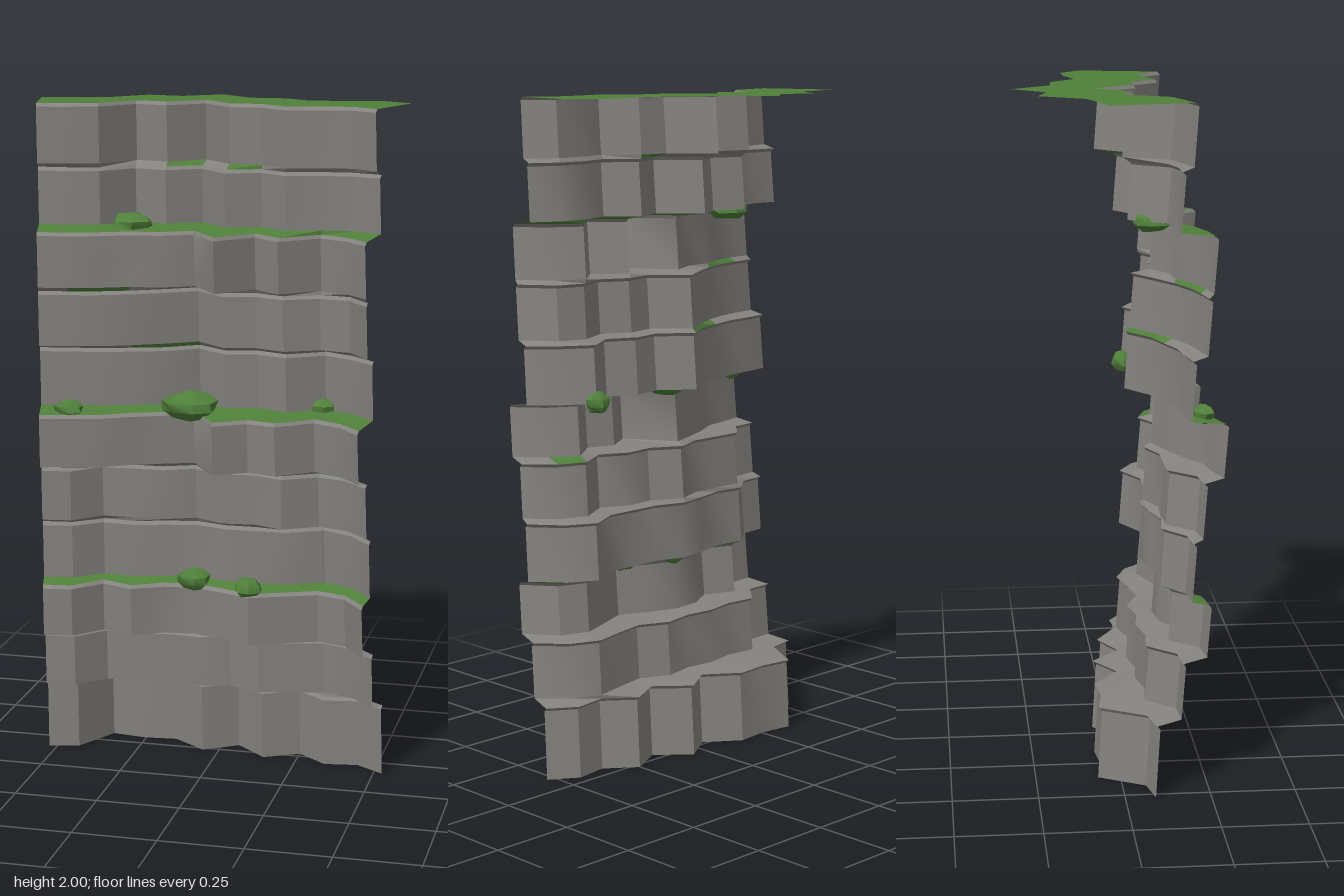
import * as THREE from 'three';
import { toCreasedNormals } from 'three/addons/utils/BufferGeometryUtils.js';

const stone = new THREE.MeshStandardMaterial({ color: 0x85837f, side: THREE.DoubleSide });
const grass = new THREE.MeshStandardMaterial({ color: 0x50803a, side: THREE.DoubleSide });

// Heights of the layer boundaries, bottom to top
const LEVELS = [0, 0.23, 0.41, 0.58, 0.765, 0.94, 1.11, 1.295, 1.47, 1.645, 1.825, 2];

// Depth (z) of each rock layer at 12 columns, from -x to +x
const LAYERS = [
  [0.095, 0.075, -0.06, -0.045, -0.055, 0.02, -0.045, 0.04, -0.015, 0.055, 0.04, 0.095],
  [0.17, 0.165, 0.08, 0.09, 0.07, 0.08, 0.06, 0.1, 0.08, 0.055, 0.09, 0.17],
  [0.245, 0.235, 0.15, 0.19, 0.14, 0.13, 0.16, 0.2, 0.16, 0.12, 0.15, 0.245],
  [0.2, 0.19, 0.125, 0.135, 0.11, 0.09, 0.12, 0.12, 0.12, 0.065, 0.11, 0.2],
  [0.23, 0.22, 0.14, 0.14, 0.14, 0.1, 0.15, 0.14, 0.18, 0.12, 0.15, 0.23],
  [0.29, 0.265, 0.25, 0.2, 0.16, 0.125, 0.275, 0.215, 0.24, 0.16, 0.205, 0.29],
  [0.195, 0.18, 0.17, 0.14, 0.11, 0.045, 0.12, 0.1, 0.14, 0.07, 0.12, 0.195],
  [0.24, 0.225, 0.205, 0.17, 0.12, 0.06, 0.15, 0.13, 0.17, 0.12, 0.14, 0.24],
  [0.255, 0.245, 0.22, 0.18, 0.17, 0.12, 0.255, 0.14, 0.22, 0.12, 0.17, 0.255],
  [0.16, 0.16, 0.14, 0.035, 0.07, 0.01, 0.12, 0.08, 0.15, 0.12, 0.12, 0.16],
  [0.195, 0.175, 0.15, 0.02, 0.05, -0.045, 0.075, 0.08, 0.16, 0.135, 0.13, 0.195],
];
const COLUMNS = 12;
const LEAN = 0.006; // layers tip forward by this much toward their tops
const RISE = 0.012; // ledges climb by this much toward the back
const LIP = 0.01; // worn upper edge of each layer

// Columns fan out toward the back
const point = (i, y, z) => [((2 * i) / (COLUMNS - 1) - 1) * (0.5475 - 0.25 * z), y, z];
const row = (depths, y, shift = 0) => depths.map((z, i) => point(i, y, z + shift));

// Strips of quads between successive rows, limited to columns that pass the test
function strip(name, material, rows, keep = () => true) {
  const positions = [];
  for (let r = 0; r < rows.length - 1; r++) {
    for (let i = 0; i < COLUMNS - 1; i++) {
      if (!keep(i)) continue;
      const [a, b, c, d] = [rows[r][i], rows[r][i + 1], rows[r + 1][i + 1], rows[r + 1][i]];
      positions.push(...a, ...b, ...c, ...a, ...c, ...d);
    }
  }
  const geometry = new THREE.BufferGeometry();
  geometry.setAttribute('position', new THREE.Float32BufferAttribute(positions, 3));
  const mesh = new THREE.Mesh(toCreasedNormals(geometry, 0.55), material);
  mesh.name = name;
  return mesh;
}

// Wide grassy ledges, and the grassy columns of other layers
const GRASSY = [2, 5, 8];
const PATCHES = { 4: [9], 6: [3, 4], 7: [1, 2], 9: [4, 6] };
const isGrass = (layer, i) => GRASSY.includes(layer) || !!PATCHES[layer]?.includes(i);

// Low, flattened shrub with slightly uneven sides
function shrub(x, y, z, rx, ry, rz) {
  const geometry = new THREE.SphereGeometry(1, 7, 5);
  const p = geometry.attributes.position;
  for (let i = 0; i < p.count; i++) {
    const s = 1 + 0.1 * Math.sin(p.getX(i) * 4 + p.getY(i) * 3 + p.getZ(i) * 5 + x * 20);
    p.setXYZ(i, p.getX(i) * rx * s, p.getY(i) * ry * s, p.getZ(i) * rz * s);
  }
  const mesh = new THREE.Mesh(toCreasedNormals(geometry, 0.7), grass);
  mesh.position.set(x, y, z);
  mesh.name = 'shrub';
  return mesh;
}

export function createModel() {
  const cliff = new THREE.Group();
  cliff.name = 'cliff';

  LAYERS.forEach((depths, k) => {
    const isTop = k === LAYERS.length - 1;
    const y = LEVELS[k + 1];
    const topY = isTop ? y : y - RISE;

    // Rock layer with a worn upper edge
    const edge = row(depths, topY, LEAN - LIP);
    cliff.add(strip('rockLayer', stone, [
      row(depths, LEVELS[k], -LEAN),
      row(depths, topY - LIP, LEAN),
      edge,
    ]));

    // Flat grass sheet running back from the top edge
    if (isTop) {
      cliff.add(strip('grassTop', grass, [edge, row(depths, y, -0.245)]));
      return;
    }

    // Ledge joining this layer to the next one, stone or grass by column
    const ledge = [edge, row(LAYERS[k + 1], y, -LEAN)];
    if (!GRASSY.includes(k)) cliff.add(strip('rockLedge', stone, ledge, (i) => !isGrass(k, i)));
    if (GRASSY.includes(k) || PATCHES[k]) {
      cliff.add(strip('grassLedge', grass, ledge, (i) => isGrass(k, i)));
    }
  });

  // Shrubs half sunk into the ledges
  [
    [-0.24, 1.645, 0.1, 0.064, 0.036, 0.058],
    [-0.4, 1.11, 0.235, 0.045, 0.027, 0.032],
    [-0.05, 1.122, 0.165, 0.085, 0.044, 0.065],
    [0.33, 1.113, 0.07, 0.04, 0.034, 0.035],
    [-0.045, 0.587, 0.14, 0.05, 0.034, 0.042],
    [0.13, 0.583, 0.18, 0.044, 0.03, 0.038],
  ].forEach((s) => cliff.add(shrub(...s)));

  return cliff;
}
